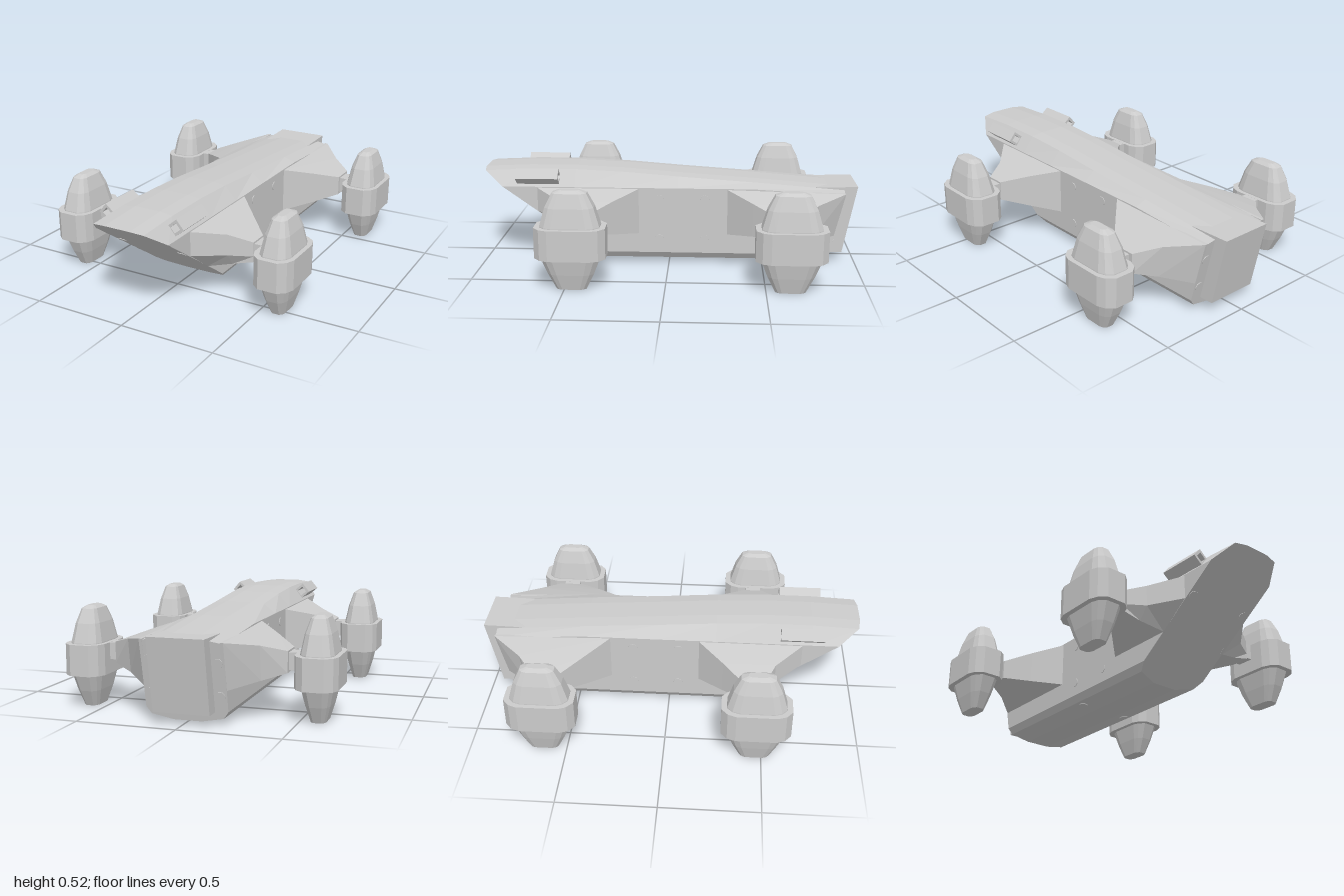
import * as THREE from 'three';

const grey = new THREE.MeshStandardMaterial({ color: 0xcccccc, flatShading: true });

// Skin a list of matching convex rings ([x, y, z] points) and cap both ends.
function loft(rings) {
  const tris = [];
  const n = rings[0].length;
  for (let r = 0; r < rings.length - 1; r++) {
    const a = rings[r], b = rings[r + 1];
    for (let i = 0; i < n; i++) {
      const j = (i + 1) % n;
      tris.push([a[i], a[j], b[j]], [a[i], b[j], b[i]]);
    }
  }
  const last = rings[rings.length - 1];
  for (let i = 1; i < n - 1; i++) {
    tris.push([rings[0][0], rings[0][i + 1], rings[0][i]]);
    tris.push([last[0], last[i], last[i + 1]]);
  }
  // Turn every face outward, whichever way the rings ran.
  let volume = 0;
  const u = new THREE.Vector3(), v = new THREE.Vector3(), w = new THREE.Vector3();
  for (const t of tris) volume += u.fromArray(t[0]).dot(v.fromArray(t[1]).cross(w.fromArray(t[2])));
  if (volume < 0) tris.forEach((t) => t.reverse());
  const g = new THREE.BufferGeometry();
  g.setAttribute('position', new THREE.Float32BufferAttribute(tris.flat(2), 3));
  g.computeVertexNormals();
  return g;
}

function add(parent, name, geometry, x = 0, y = 0, z = 0) {
  const m = new THREE.Mesh(geometry, grey);
  m.name = name;
  m.position.set(x, y, z);
  parent.add(m);
  return m;
}

// Slanted nose and tail planes, as z for a given height.
const noseZ = (y) => 0.37 + 1.4 * (y - 0.05);
const tailZ = (y) => -0.93 + 0.22 * (0.41 - y);

// Hull cross-section for a given roof height.
function hullSection(top, zOf) {
  const half = [
    [0.07, 0.008], [0.18, 0.03], [0.205, 0.065],
    [0.205, Math.min(0.42, top - 0.02)], [0.14, top - 0.008], [0.07, top],
  ];
  const all = [...half, ...half.slice().reverse().map(([x, y]) => [-x, y])];
  return all.map(([x, y]) => [x, y, zOf(y)]);
}

function hull() {
  const stations = [[0.75, 0.511], [0.5, 0.511], [0.25, 0.5], [-0.05, 0.477], [-0.45, 0.45]];
  return loft([
    hullSection(0.5, noseZ),
    ...stations.map(([z, top]) => hullSection(top, (y) => Math.min(z, noseZ(y)))),
    hullSection(0.413, tailZ),
  ]);
}

// Pylon tapering from a root outline to a tip outline, both [z, y].
function pylon(side, root, mid, tip) {
  const at = (x, pts) => pts.map(([z, y]) => [side * x, y, z]);
  return loft([at(0.19, root), at(0.205, root), at(0.33, mid), at(0.44, tip)]);
}

// Elongated outline with cut corners.
function podRing(hx, hz, y) {
  const q = [[1, 0.58], [0.84, 0.82], [0.48, 1]];
  const h = [...q, ...q.slice().reverse().map(([x, z]) => [-x, z])];
  return [...h, ...h.map(([x, z]) => [-x, -z])].map(([x, z]) => [x * hx, y, z * hz]);
}

function pod(name) {
  const g = new THREE.Group();
  g.name = name;
  const profile = [
    [0.038, 0.075, 0.003], [0.06, 0.115, 0.085], [0.078, 0.148, 0.17], [0.084, 0.155, 0.25],
    [0.081, 0.148, 0.33], [0.063, 0.12, 0.425], [0.04, 0.085, 0.495], [0.02, 0.05, 0.509],
  ];
  add(g, 'podBody', loft(profile.map((p) => podRing(...p))));
  add(g, 'podCollar', loft([podRing(0.104, 0.176, 0.17), podRing(0.104, 0.176, 0.326)]));
  return g;
}

// Square tube with an open bore.
function barrel() {
  const rect = (T, w, h) => {
    const s = new T();
    s.moveTo(-w, -h);
    s.lineTo(w, -h);
    s.lineTo(w, h);
    s.lineTo(-w, h);
    s.closePath();
    return s;
  };
  const s = rect(THREE.Shape, 0.031, 0.034);
  s.holes.push(rect(THREE.Path, 0.018, 0.02));
  return new THREE.ExtrudeGeometry(s, { depth: 0.225, bevelEnabled: false });
}

// Small round port lying on a surface with the given normal.
function port(parent, name, pos, normal) {
  const m = add(parent, name, new THREE.CylinderGeometry(0.024, 0.024, 0.006, 16), ...pos);
  m.quaternion.setFromUnitVectors(new THREE.Vector3(0, 1, 0), new THREE.Vector3(...normal).normalize());
}

export function createModel() {
  const model = new THREE.Group();
  model.name = 'fourPodCraft';
  add(model, 'hull', hull());

  // Slanted block at the stern
  const stern = [[-0.78, 0.418], [-1, 0.423], [-0.93, 0.06], [-0.78, 0.06]];
  add(model, 'sternBlock', loft([-0.14, 0.14].map((x) => stern.map(([z, y]) => [x, y, z]))));

  const pylons = {
    front: {
      podZ: 0.465, strutZ: 0.45,
      root: [[0.16, 0.17], [0.54, 0.17], [0.7, 0.29], [0.7, 0.415], [0.16, 0.415]],
      mid: [[0.29, 0.2], [0.51, 0.2], [0.56, 0.265], [0.56, 0.375], [0.29, 0.375]],
      tip: [[0.4, 0.23], [0.5, 0.23], [0.5, 0.26], [0.5, 0.335], [0.4, 0.335]],
    },
    rear: {
      podZ: -0.62, strutZ: -0.62,
      root: [[-0.31, 0.17], [-0.31, 0.415], [-0.93, 0.4], [-0.875, 0.17]],
      mid: [[-0.44, 0.2], [-0.44, 0.375], [-0.775, 0.37], [-0.75, 0.2]],
      tip: [[-0.56, 0.23], [-0.56, 0.335], [-0.685, 0.335], [-0.685, 0.23]],
    },
  };

  for (const side of [1, -1]) {
    const label = side > 0 ? 'Left' : 'Right';
    for (const [end, p] of Object.entries(pylons)) {
      add(model, `${end}${label}Pylon`, pylon(side, p.root, p.mid, p.tip));
      add(model, `${end}${label}Strut`, new THREE.BoxGeometry(0.1, 0.085, 0.088), side * 0.475, 0.283, p.strutZ);
      const unit = pod(`${end}${label}Pod`);
      unit.position.set(side * 0.585, 0, p.podZ);
      model.add(unit);
    }

    // Square barrels on the shoulders
    const gun = add(model, `barrel${label}`, barrel(), side * 0.194, 0.473, 0.585);
    gun.rotation.z = -side * 0.87;

    // Round ports on flanks, nose slope, tail face and lower chamfer
    for (const z of [0.05, -0.19]) {
      for (const y of [0.36, 0.14]) port(model, `flankPort${label}`, [side * 0.205, y, z], [side, 0, 0]);
    }
    port(model, `nosePort${label}`, [side * 0.174, 0.305, noseZ(0.305)], [0, -1.4, 1]);
    for (const y of [0.3, 0.14]) port(model, `tailPort${label}`, [side * 0.172, y, tailZ(y)], [0, -0.22, -1]);
    port(model, `keelPort${label}`, [side * 0.14, 0.022, -0.19], [side * 0.2, -1, 0]);
  }
  return model;
}
